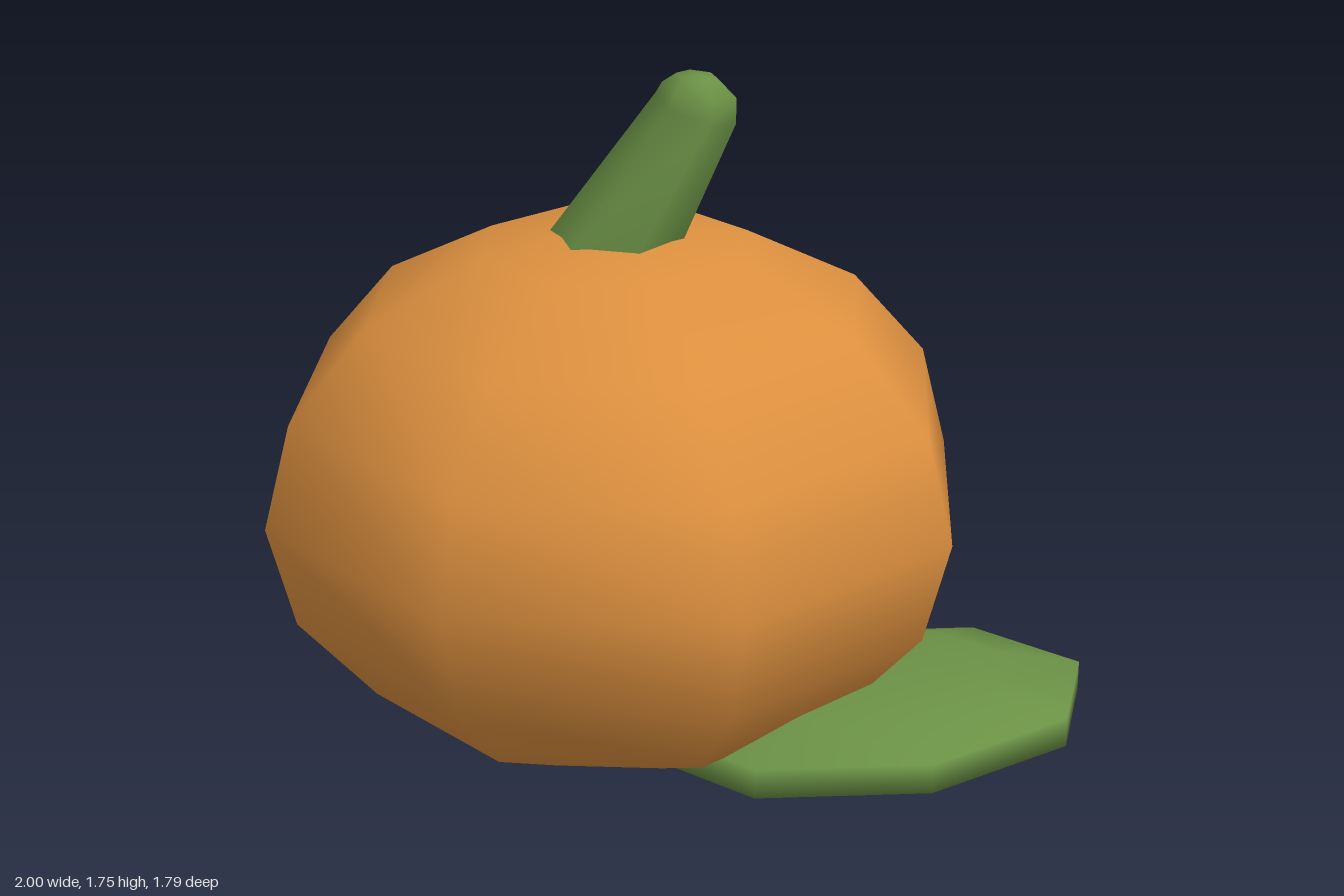
import * as THREE from 'three';
import { mergeVertices } from 'three/addons/utils/BufferGeometryUtils.js';

const orange = new THREE.MeshStandardMaterial({ name: 'pumpkin orange', color: 0xdd903f });
const green = new THREE.MeshStandardMaterial({ name: 'stem green', color: 0x6a9045 });

// Low-poly ellipsoid with baked radii
function ellipsoid(name, material, rows, radii, centre) {
  const geometry = new THREE.SphereGeometry(1, 8, rows).scale(...radii);
  const mesh = new THREE.Mesh(geometry, material);
  mesh.name = name;
  mesh.position.set(...centre);
  return mesh;
}

// Leaning six-sided stem; each ring is [x, y, z, radius, tilt], listed bottom to top
function stem() {
  const rings = [
    [-0.14, 1.26, -0.024, 0.181, 0],
    [-0.097, 1.345, 0.002, 0.165, 0],
    [0.065, 1.665, 0.1, 0.097, 0.3],
    [0.071, 1.71, 0.106, 0.09, 0.15],
    [0.066, 1.745, 0.105, 0.05, 0.08],
    [0.066, 1.75, 0.105, 0, 0],
  ];
  let geometry = new THREE.CylinderGeometry(1, 1, rings.length - 1, 6, rings.length - 1, true);
  const p = geometry.attributes.position;
  for (let i = 0; i < p.count; i++) {
    const [x, y, z, r, tilt] = rings[Math.round(p.getY(i) + (rings.length - 1) / 2)];
    const dx = p.getX(i) * r, dz = p.getZ(i) * r;
    p.setXYZ(i, x + dx, y - tilt * (dx + 0.6 * dz), z + dz);
  }
  // Weld the seam and the tip so the shading is smooth all round
  geometry.deleteAttribute('uv');
  geometry.deleteAttribute('normal');
  geometry = mergeVertices(geometry, 1e-4);
  geometry.computeVertexNormals();
  const mesh = new THREE.Mesh(geometry, green);
  mesh.name = 'stem';
  return mesh;
}

export function createModel() {
  const group = new THREE.Group();
  group.name = 'pumpkin';
  group.add(
    ellipsoid('pumpkinBody', orange, 8, [0.895, 0.682, 0.895], [-0.105, 0.682, 0]),
    ellipsoid('leaf', green, 5, [0.61, 0.123, 0.411], [0.42, 0.1625, 0.412]),
    stem()
  );
  return group;
}
